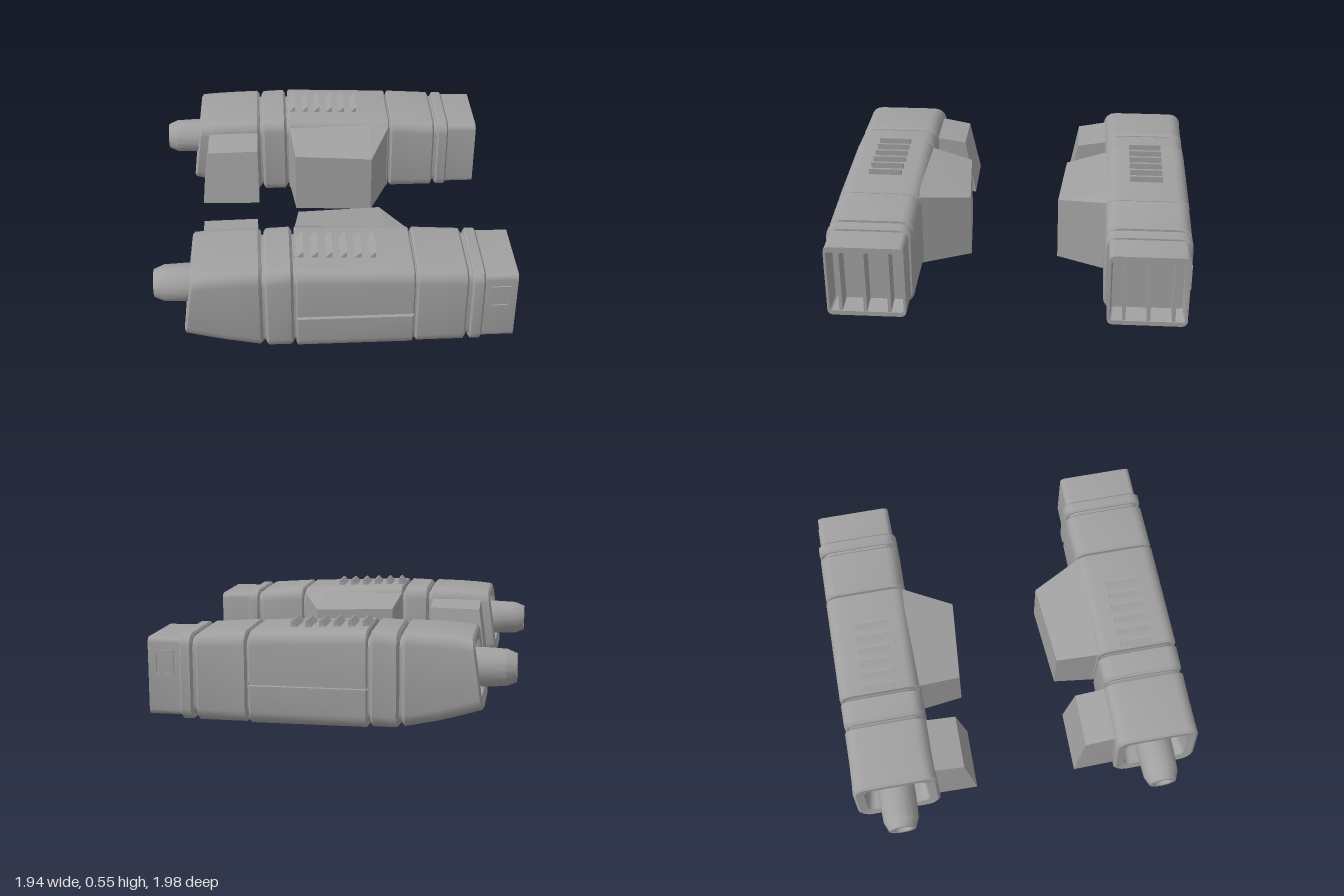
import * as THREE from 'three';
import { toCreasedNormals } from 'three/addons/utils/BufferGeometryUtils.js';
import { ConvexGeometry } from 'three/addons/geometries/ConvexGeometry.js';

const ZC = 0.75; // centre line of one pod

// Rounded rectangle in the y-z plane; a groove can be cut in the outer side.
// Station: [x at bottom, x at top, bottom y, top y, half width, corner radius]
function section([xb, xt, y0, y1, w, r], grooveY) {
  const pts = [];
  const corners = [[w - r, y0 + r, -90], [w - r, y1 - r, 0], [r - w, y1 - r, 90], [r - w, y0 + r, 180]];
  corners.forEach(([cz, cy, start], k) => {
    for (let i = 0; i <= 4; i++) {
      const a = THREE.MathUtils.degToRad(start + i * 22.5);
      pts.push([cy + r * Math.sin(a), cz + r * Math.cos(a)]);
    }
    if (k === 0 && grooveY) {
      pts.push([grooveY - 0.009, w], [grooveY - 0.008, w - 0.02], [grooveY + 0.008, w - 0.02], [grooveY + 0.009, w]);
    }
  });
  return pts.map(([y, z]) => [xb + (xt - xb) * (y - y0) / (y1 - y0), y, ZC + z]);
}

// Skin through a list of stations, capped at both ends
function loft(stations, grooveY) {
  const rings = stations.map((s) => section(s, grooveY));
  const n = rings[0].length, last = (rings.length - 1) * n, index = [];
  for (let s = 0; s < rings.length - 1; s++) {
    for (let i = 0; i < n; i++) {
      const j = (i + 1) % n;
      const a = s * n + i, b = s * n + j, c = b + n, d = a + n;
      index.push(a, d, c, a, c, b);
    }
  }
  for (let i = 1; i < n - 1; i++) index.push(0, i, i + 1, last, last + i + 1, last + i);
  const g = new THREE.BufferGeometry();
  g.setAttribute('position', new THREE.Float32BufferAttribute(rings.flat(2), 3));
  g.setIndex(index);
  return toCreasedNormals(g, 0.5);
}

// Band with softly bevelled ends
function band(x0, x1, y0, t0, t1, w, r, b, grooveY) {
  return loft([
    [x0, x0, y0 + b, t0 - b, w - b, r],
    [x0 + b, x0 + b, y0, t0, w, r],
    [x1 - b, x1 - b, y0, t1, w, r],
    [x1, x1, y0 + b, t1 - b, w - b, r],
  ], grooveY);
}

function box(x0, x1, y0, y1, z0, z1) {
  return new THREE.BoxGeometry(x1 - x0, y1 - y0, z1 - z0)
    .translate((x0 + x1) / 2, (y0 + y1) / 2, (z0 + z1) / 2);
}

function hull(points) {
  return new ConvexGeometry(points.map((p) => new THREE.Vector3(...p)));
}

function toPoints(pairs) {
  return pairs.map((p) => new THREE.Vector2(...p));
}

// Mirror a geometry to the other pod, keeping its faces outward
function mirrored(geometry) {
  const g = geometry.index ? geometry.toNonIndexed() : geometry.clone();
  g.applyMatrix4(new THREE.Matrix4().makeScale(1, 1, -1));
  const index = [];
  for (let i = 0; i < g.attributes.position.count; i += 3) index.push(i, i + 2, i + 1);
  g.setIndex(index);
  return g;
}

function podParts() {
  const parts = [];
  const add = (name, geometry) => parts.push([name, geometry]);

  // Core showing in the seams between the bands
  add('core', band(-0.45, 0.76, 0.035, 0.49, 0.46, 0.212, 0.06, 0.012));

  // Slanted nose with a recessed mouth
  add('nose', loft([
    [-0.69, -0.65, 0.19, 0.44, 0.165, 0.04],
    [-0.795, -0.757, 0.18, 0.455, 0.18, 0.045],
    [-0.81, -0.757, 0.135, 0.495, 0.225, 0.065],
    [-0.8, -0.745, 0.122, 0.506, 0.24, 0.07],
    [-0.7, -0.68, 0.09, 0.514, 0.236, 0.07],
    [-0.58, -0.57, 0.056, 0.521, 0.233, 0.07],
    [-0.405, -0.405, 0.018, 0.525, 0.233, 0.07],
    [-0.388, -0.388, 0.03, 0.513, 0.222, 0.07],
  ]));

  // Hollow barrel
  const profile = toPoints([[0.105, 0.62], [0.105, 0.8], [0.1, 0.915], [0.077, 0.97], [0.055, 0.97], [0.055, 0.9], [0, 0.9]]);
  add('barrel', toCreasedNormals(
    new THREE.LatheGeometry(profile, 16).rotateZ(Math.PI / 2).translate(0, 0.312, ZC), 0.5));

  // Body bands
  add('frontBand', band(-0.375, -0.222, 0.01, 0.522, 0.527, 0.233, 0.07, 0.015));
  add('mainBody', band(-0.21, 0.42, 0.005, 0.527, 0.502, 0.235, 0.07, 0.008, 0.226));
  add('rearBand', band(0.43, 0.703, 0.01, 0.502, 0.484, 0.233, 0.07, 0.01));
  add('rearCollar', band(0.724, 0.792, 0.014, 0.48, 0.478, 0.234, 0.065, 0.01));

  // Hollow exhaust box with upright vanes
  add('exhaustBox', loft([
    [0.75, 0.75, 0.036, 0.458, 0.214, 0.03],
    [0.967, 0.967, 0.036, 0.456, 0.214, 0.03],
    [0.967, 0.967, 0.062, 0.424, 0.2, 0.012],
    [0.85, 0.85, 0.075, 0.41, 0.19, 0.012],
  ]));
  for (const z of [0.626, 0.757, 0.89]) add('exhaustVane', box(0.845, 0.962, 0.06, 0.43, z - 0.009, z + 0.009));

  // Square port on the outer side of the exhaust box
  const port = new THREE.Shape(toPoints([[0.825, 0.25], [0.932, 0.25], [0.932, 0.387], [0.825, 0.387]]));
  port.holes.push(new THREE.Path(toPoints([[0.838, 0.263], [0.838, 0.374], [0.919, 0.374], [0.919, 0.263]])));
  add('portFrame', new THREE.ExtrudeGeometry(port, { depth: 0.012, bevelEnabled: false }).translate(0, 0, 0.96));

  // Inner fairing, a wedge with a sloping top
  const plan = [[-0.205, 0.53, 0.488], [-0.175, 0.287, 0.425], [0.288, 0.25, 0.415], [0.415, 0.53, 0.47], [0.3, 0.6, 0.5], [-0.2, 0.6, 0.505]];
  add('innerFairing', hull(plan.flatMap(([x, z, top]) => [[x, 0.045, z], [x, top, z]])));

  // Inner forward block with a raked front
  add('innerBlock', hull([
    [-0.75, 0.1, 0.29], [-0.405, 0.09, 0.29], [-0.75, 0.12, 0.56], [-0.405, 0.09, 0.56],
    [-0.705, 0.425, 0.35], [-0.405, 0.43, 0.35], [-0.705, 0.465, 0.56], [-0.405, 0.465, 0.56],
  ]));

  // Row of cooling fins on top
  for (let i = 0; i < 6; i++) {
    const x = -0.165 + i * 0.077, y = 0.558 - i * 0.003;
    const fin = new THREE.Shape(toPoints([[x - 0.045, y - 0.042], [x, y - 0.042], [x, y], [x - 0.008, y - 0.003]]));
    add('coolingFin', new THREE.ExtrudeGeometry(fin, { depth: 0.186, bevelEnabled: false }).translate(0, 0, 0.655));
  }
  return parts;
}

export function createModel() {
  const hullGrey = new THREE.MeshStandardMaterial({ color: 0xa0a0a0 });
  hullGrey.name = 'hullGrey';
  const model = new THREE.Group();
  model.name = 'podPair';
  const front = new THREE.Group(), back = new THREE.Group();
  front.name = 'frontPod';
  back.name = 'backPod';
  for (const [name, geometry] of podParts()) {
    const a = new THREE.Mesh(geometry, hullGrey);
    const b = new THREE.Mesh(mirrored(geometry), hullGrey);
    a.name = b.name = name;
    front.add(a);
    back.add(b);
  }
  model.add(front, back);
  return model;
}
